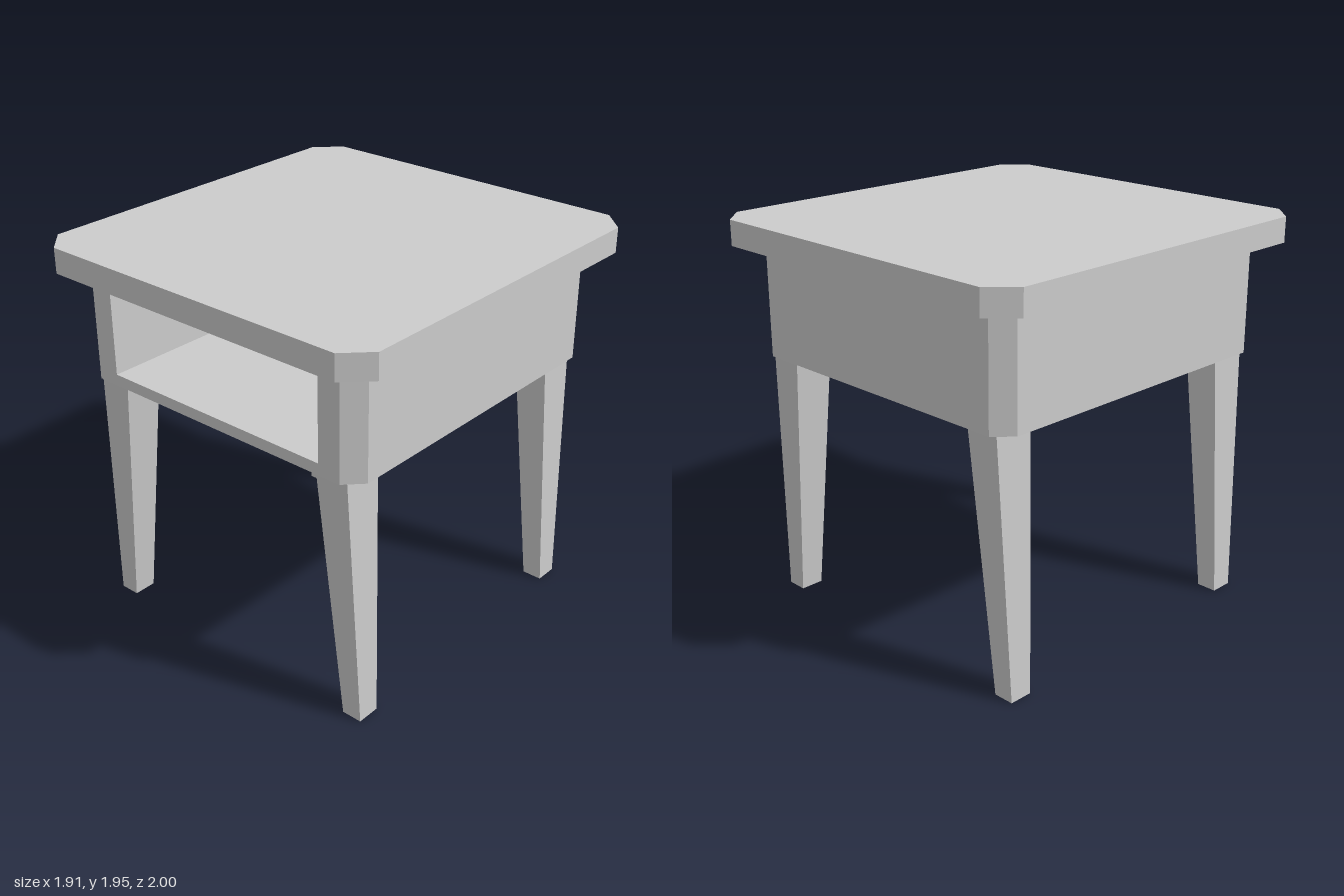
import * as THREE from 'three';

const material = new THREE.MeshStandardMaterial({ color: 0xcccccc, flatShading: true });

// Skins a stack of matching rings; can cap either end and skip one side.
function loft(name, rings, { start = true, end = true, skip = -1 } = {}) {
  const pos = [];
  const tri = (a, b, c) => pos.push(...a, ...b, ...c);
  const n = rings[0].length;
  for (let r = 0; r < rings.length - 1; r++) {
    const a = rings[r], b = rings[r + 1];
    for (let i = 0; i < n; i++) {
      if (i === skip) continue;
      const j = (i + 1) % n;
      tri(a[i], a[j], b[j]);
      tri(a[i], b[j], b[i]);
    }
  }
  const first = rings[0], last = rings[rings.length - 1];
  for (let i = 1; i < n - 1; i++) {
    if (start) tri(first[0], first[i + 1], first[i]);
    if (end) tri(last[0], last[i], last[i + 1]);
  }
  const geometry = new THREE.BufferGeometry();
  geometry.setAttribute('position', new THREE.Float32BufferAttribute(pos, 3));
  geometry.computeVertexNormals();
  const mesh = new THREE.Mesh(geometry, material);
  mesh.name = name;
  return mesh;
}

// Horizontal rectangle with cut corners; side 6 is the front.
const octagon = (X, Z, x, z, y) => [
  [X, y, z], [X, y, -z], [x, y, -Z], [-x, y, -Z],
  [-X, y, -z], [-X, y, z], [-x, y, Z], [x, y, Z],
];

// Upright rectangle facing the front.
const upright = (x, y0, y1, z) => [[-x, y0, z], [x, y0, z], [x, y1, z], [-x, y1, z]];

// Horizontal rectangle in one corner, spanning inner to outer distances.
function footprint(sx, sz, xIn, xOut, zIn, zOut, y) {
  const [x0, x1] = [sx * xIn, sx * xOut].sort((a, b) => a - b);
  const [z0, z1] = [sz * zIn, sz * zOut].sort((a, b) => a - b);
  return [[x1, y, z1], [x1, y, z0], [x0, y, z0], [x0, y, z1]];
}

export function createModel() {
  const model = new THREE.Group();
  model.name = 'nightstand';

  // Table top
  model.add(loft('tableTop', [
    octagon(0.955, 1, 0.835, 0.88, 1.825),
    octagon(0.955, 1, 0.835, 0.88, 1.95),
  ]));

  // Cabinet sides, back and underside, left open at the front
  model.add(loft('cabinet', [
    octagon(0.83, 0.87, 0.748, 0.786, 1.273),
    octagon(0.83, 0.87, 0.748, 0.786, 1.825),
  ], { skip: 6 }));

  // Front frame running back into the slightly tapered shelf recess
  model.add(loft('frontFrameAndRecess', [
    upright(0.748, 1.273, 1.825, 0.87),
    upright(0.63, 1.33, 1.767, 0.87),
    upright(0.622, 1.334, 1.763, -0.72),
  ], { start: false }));

  // Splayed, tapering legs
  for (const sx of [-1, 1]) {
    for (const sz of [-1, 1]) {
      const name = (sz > 0 ? 'front' : 'back') + (sx > 0 ? 'Left' : 'Right') + 'Leg';
      model.add(loft(name, [
        footprint(sx, sz, 0.71, 0.813, 0.683, 0.801, 0),
        footprint(sx, sz, 0.592, 0.766, 0.642, 0.843, 1.273),
      ], { end: false }));
    }
  }
  return model;
}
